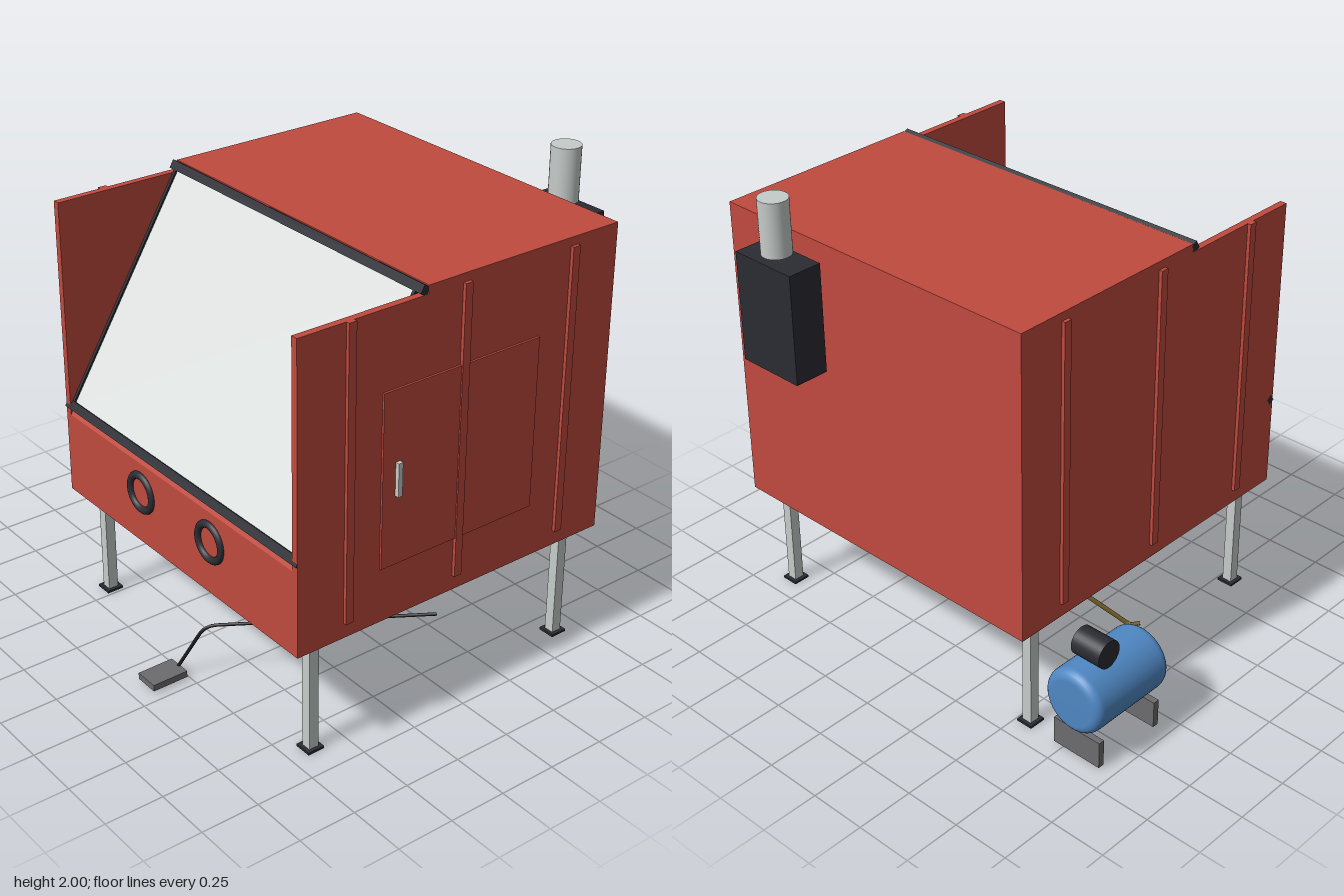
import * as THREE from 'three';

const mat = (name, color) => new THREE.MeshStandardMaterial({ name, color });

export function createModel() {
  const red = mat('cabinet red', 0xc04a3f);
  const dark = mat('frame black', 0x2b2c33);
  const glass = mat('window pale grey', 0xdde1e0);
  const steel = mat('steel grey', 0xc6ccca);
  const grey = mat('mid grey', 0x6c6c6e);
  const blue = mat('tank blue', 0x4f88c4);
  const brass = mat('hose brass', 0x8a7230);
  const black = mat('cable black', 0x1a1a1c);

  const root = new THREE.Group();
  root.name = 'blastCabinet';

  const add = (name, geo, material, x = 0, y = 0, z = 0, parent = root) => {
    const m = new THREE.Mesh(geo, material);
    m.name = name;
    m.position.set(x, y, z);
    parent.add(m);
    return m;
  };
  // box given by its min and max on each axis
  const box = (name, material, x0, x1, y0, y1, z0, z1) =>
    add(name, new THREE.BoxGeometry(x1 - x0, y1 - y0, z1 - z0), material,
      (x0 + x1) / 2, (y0 + y1) / 2, (z0 + z1) / 2);
  // tube of straight runs with rounded bends
  const hose = (name, material, points, radius, bend) => {
    const p = points.map((a) => new THREE.Vector3(...a));
    const path = new THREE.CurvePath();
    let from = p[0];
    for (let i = 1; i < p.length - 1; i++) {
      const a = p[i].clone().add(p[i - 1].clone().sub(p[i]).setLength(bend));
      const b = p[i].clone().add(p[i + 1].clone().sub(p[i]).setLength(bend));
      path.add(new THREE.LineCurve3(from, a));
      path.add(new THREE.QuadraticBezierCurve3(a, p[i], b));
      from = b;
    }
    path.add(new THREE.LineCurve3(from, p[p.length - 1]));
    return add(name, new THREE.TubeGeometry(path, 60, radius, 8), material);
  };

  const CX = 0.15; // cabinet centre line

  // Cabinet: base, sloped core, side panels, roof
  box('base', red, -0.625, 0.925, 0.5, 0.565, -0.755, 0.76);
  const profile = new THREE.Shape([
    [-0.76, 0.565], [0.755, 0.565], [0.755, 1.79], [-0.195, 1.79], [-0.76, 0.86],
  ].map(([x, y]) => new THREE.Vector2(x, y)));
  const core = new THREE.ExtrudeGeometry(profile, { depth: 1.49, bevelEnabled: false });
  core.rotateY(Math.PI / 2); // profile x becomes -z, depth runs along +x
  add('cabinetCore', core, red, -0.595, 0, 0);
  box('roof', red, -0.625, 0.925, 1.79, 1.825, -0.755, 0.18);

  for (const s of [-1, 1]) {
    const outer = CX + s * 0.775;
    add('sidePanel', new THREE.BoxGeometry(0.03, 1.225, 1.515), red, outer - s * 0.015, 1.1775, 0.0025);
    for (const z of [-0.53, 0, 0.53]) {
      add('sideRib', new THREE.BoxGeometry(0.03, 1.225, 0.035), red, outer, 1.1775, z);
    }
  }

  // Side door with handle
  box('door', red, 0.92, 0.934, 0.735, 1.465, -0.37, 0.38);
  box('doorHandle', steel, 0.93, 0.952, 1.03, 1.17, 0.3, 0.32);

  // Sloped window in its frame
  const windowGroup = new THREE.Group();
  windowGroup.name = 'window';
  windowGroup.position.set(CX, 1.354, 0.47);
  windowGroup.rotation.x = -0.5446;
  root.add(windowGroup);
  const len = 1.062;
  add('windowPane', new THREE.BoxGeometry(1.476, len, 0.008), glass, 0, 0, 0.002, windowGroup);
  for (const s of [-1, 1]) {
    add('frameBar', new THREE.BoxGeometry(1.55, 0.036, 0.03), dark, 0, s * len / 2, 0, windowGroup);
    add('frameSide', new THREE.BoxGeometry(0.014, len, 0.028), dark, s * 0.738, 0, 0, windowGroup);
  }

  // Glove port rings
  for (const x of [-0.082, 0.384]) {
    add('gloveRing', new THREE.TorusGeometry(0.075, 0.016, 12, 40), dark, x, 0.73, 0.761);
  }

  // Hopper and outlet
  add('hopperDrum', new THREE.CylinderGeometry(0.463, 0.463, 0.25, 64, 1, true), red, CX, 0.375, 0);
  add('hopperCone', new THREE.CylinderGeometry(0.463, 0.065, 0.15, 64), red, CX, 0.175, 0);
  add('outlet', new THREE.CylinderGeometry(0.03, 0.03, 0.08, 24), grey, CX, 0.065, 0);

  // Legs with foot plates
  for (const x of [-0.55, 0.85]) {
    for (const z of [-0.632, 0.642]) {
      add('leg', new THREE.BoxGeometry(0.044, 0.495, 0.044), steel, x, 0.2575, z);
      add('footPlate', new THREE.BoxGeometry(0.075, 0.01, 0.075), dark, x, 0.005, z);
    }
  }

  // Dust extractor and exhaust pipe
  box('extractor', dark, 0.385, 0.692, 1.285, 1.752, -0.925, -0.775);
  add('exhaustPipe', new THREE.CylinderGeometry(0.061, 0.061, 0.23, 32), steel, 0.54, 1.885, -0.85);

  // Compressor: rounded tank, motor, feet
  const half = 0.212, r = 0.14, round = 0.04;
  const pts = [new THREE.Vector2(0, -half)];
  for (const s of [-1, 1]) {
    for (let i = 0; i <= 6; i++) {
      const a = (s < 0 ? i : 6 - i) / 6 * Math.PI / 2;
      pts.push(new THREE.Vector2(r - round + round * Math.sin(a), s * (half - round + round * Math.cos(a))));
    }
  }
  pts.push(new THREE.Vector2(0, half));
  add('compressorTank', new THREE.LatheGeometry(pts, 48), blue, -0.82, 0.276, -0.488).rotation.x = Math.PI / 2;
  add('compressorMotor', new THREE.CylinderGeometry(0.06, 0.06, 0.14, 32), dark, -0.82, 0.47, -0.563)
    .rotation.z = Math.PI / 2;
  for (const z of [-0.326, -0.65]) {
    add('compressorFoot', new THREE.BoxGeometry(0.232, 0.12, 0.028), grey, -0.82, 0.065, z);
  }

  // Air hose
  hose('airHose', brass, [[-0.82, 0.43, -0.29], [-0.7, 0.315, -0.215], [-0.61, 0.49, -0.365]], 0.009, 0.03);

  // Foot pedal and cable
  box('footPedal', grey, 0.098, 0.206, 0.012, 0.04, 0.765, 0.925);
  hose('pedalCable', black, [[0.15, 0.035, 0.77], [0.225, 0.235, 0.685], [0.83, 0.33, 0]], 0.007, 0.05);

  return root;
}
